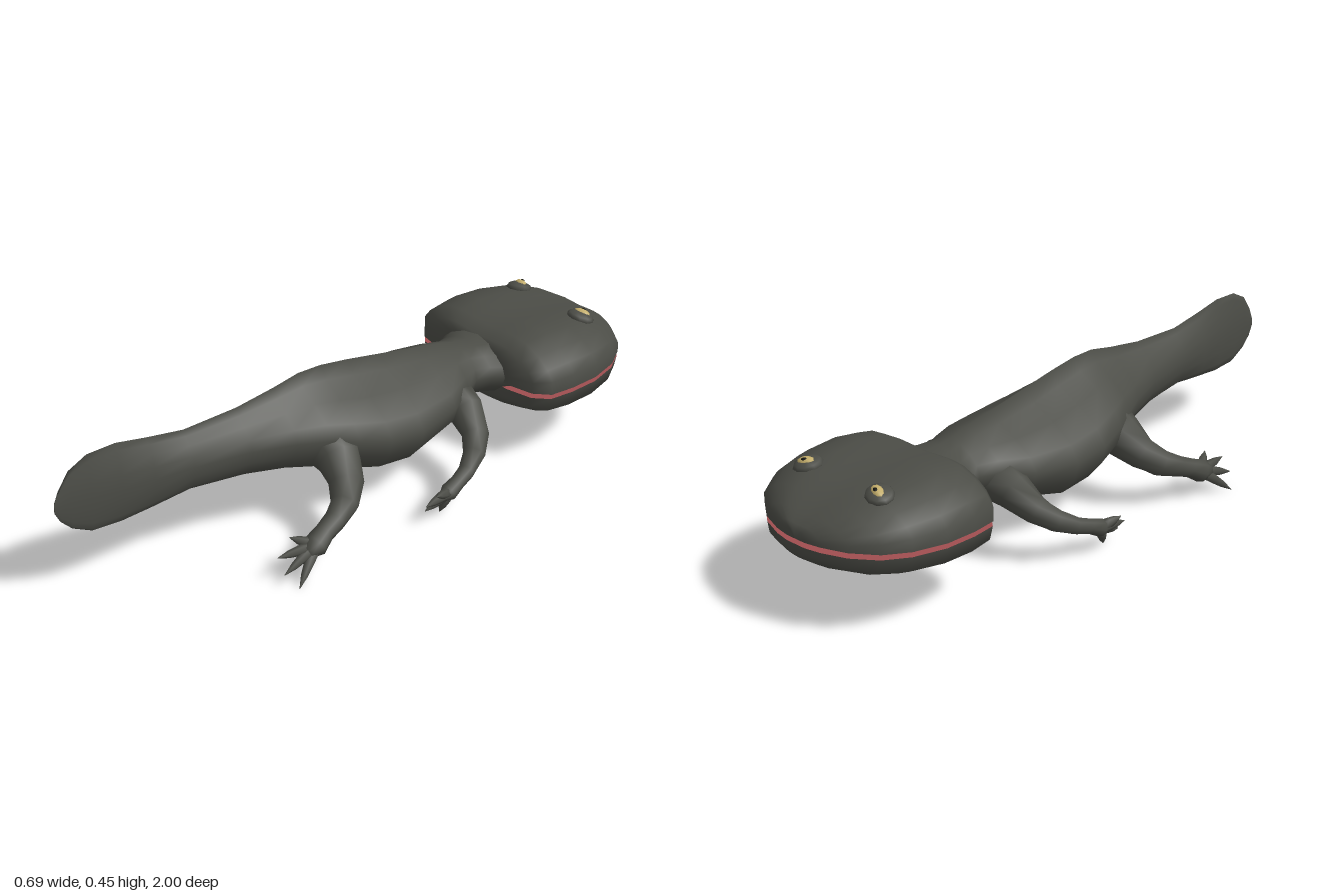
import * as THREE from 'three';

const mat = (name, color, side = THREE.FrontSide) => Object.assign(new THREE.MeshStandardMaterial({ color, side }), { name });

// Skin stretched over cross-sections; rings run counter-clockwise about the path
function loft(rings, closed = true, caps = true) {
  const n = rings[0].length, m = closed ? n : n - 1;
  const pos = rings.flat(2), idx = [];
  for (let i = 0; i < rings.length - 1; i++)
    for (let j = 0; j < m; j++) {
      const a = i * n + j, b = i * n + (j + 1) % n;
      idx.push(a, b, a + n, b, b + n, a + n);
    }
  if (caps) [0, rings.length - 1].forEach((r, end) => {
    const R = rings[r], used = closed ? R : [R[0], R[n - 1]];
    const c = pos.length / 3;
    for (let k = 0; k < 3; k++) pos.push(used.reduce((s, p) => s + p[k], 0) / used.length);
    for (let j = 0; j < m; j++) {
      const a = r * n + j, b = r * n + (j + 1) % n;
      idx.push(...(end ? [c, a, b] : [c, b, a]));
    }
  });
  const g = new THREE.BufferGeometry();
  g.setAttribute('position', new THREE.Float32BufferAttribute(pos, 3));
  g.setIndex(idx);
  g.computeVertexNormals();
  return g;
}

// Tapered limb through points [x, y, z, radius], mirrored by s
function limb(points, s, sides = 8) {
  const P = points.map(p => new THREE.Vector3(p[0] * s, p[1], p[2]));
  return loft(P.map((p, i) => {
    const t = P[Math.min(i + 1, P.length - 1)].clone().sub(P[Math.max(i - 1, 0)]).normalize();
    const u = new THREE.Vector3(0, 1, 0).cross(t).normalize();
    const v = t.clone().cross(u);
    return Array.from({ length: sides }, (_, k) => {
      const a = k / sides * Math.PI * 2, r = points[i][3];
      return p.clone().addScaledVector(u, r * Math.cos(a)).addScaledVector(v, r * Math.sin(a)).toArray();
    });
  }));
}

// Body stations: z, half width, top, bottom, ridge sharpness
const BODY = [
  [-0.58, 0.23, 0.34, 0.20, 0], [-0.52, 0.16, 0.36, 0.185, 0], [-0.47, 0.125, 0.36, 0.19, 0.1],
  [-0.42, 0.11, 0.365, 0.195, 0.2], [-0.36, 0.14, 0.38, 0.18, 0.4], [-0.27, 0.185, 0.395, 0.14, 0.6],
  [-0.12, 0.213, 0.42, 0.098, 0.8], [0, 0.212, 0.44, 0.11, 1], [0.1, 0.19, 0.453, 0.14, 1],
  [0.18, 0.155, 0.453, 0.165, 1], [0.27, 0.115, 0.435, 0.185, 0.9], [0.4, 0.075, 0.415, 0.205, 0.7],
  [0.58, 0.05, 0.407, 0.22, 0.6], [0.7, 0.038, 0.425, 0.205, 0.6], [0.8, 0.028, 0.443, 0.195, 0.6],
  [0.89, 0.017, 0.44, 0.2, 0.6], [0.95, 0.01, 0.41, 0.23, 0.6], [0.985, 0.005, 0.36, 0.265, 0.6],
  [1, 0.002, 0.325, 0.295, 0.6],
];
const RIDGED = [[0, 1], [0.14, 0.76], [0.5, 0.5], [0.85, 0.2], [1, -0.1], [0.93, -0.45], [0.7, -0.8], [0.4, -0.95], [0, -1]];

function bodyRing([z, w, top, bottom, ridge]) {
  const half = RIDGED.map(([rx, ry], k) => {
    const a = k * Math.PI / 8;
    const x = THREE.MathUtils.lerp(Math.sin(a), rx, ridge), y = THREE.MathUtils.lerp(Math.cos(a), ry, ridge);
    return [x * w, (top + bottom) / 2 + y * (top - bottom) / 2, z];
  });
  return [...half.map(([x, y]) => [-x, y, z]), ...half.slice(1, -1).reverse()];
}

// Head stations: z, half width, skull top, jaw bottom
const HEAD = [
  [-1, 0.035, 0.298, 0.225], [-0.99, 0.085, 0.312, 0.212], [-0.962, 0.16, 0.333, 0.192],
  [-0.91, 0.23, 0.36, 0.17], [-0.84, 0.275, 0.383, 0.155], [-0.74, 0.303, 0.395, 0.146],
  [-0.64, 0.305, 0.4, 0.141], [-0.56, 0.295, 0.388, 0.148], [-0.52, 0.25, 0.365, 0.165],
  [-0.502, 0.16, 0.34, 0.185],
];
const upperLip = z => 0.255 - (z + 0.5) * 0.034;
const lowerLip = z => 0.239 - (z + 0.5) * 0.034;
const SKULL = [[1, 0], [1, 0.32], [0.92, 0.55], [0.78, 0.78], [0.58, 0.96], [0.4, 1], [0.2, 0.98], [0, 0.95]];
const JAW = [[1, 0], [0.96, 0.48], [0.8, 0.7], [0.5, 0.9], [0.22, 0.98], [0, 1]];
// Half profile mirrored into an arch from one lip to the other
function arch(profile, w, from, to, z, s) {
  const half = profile.map(([x, y]) => [x * w * s, from + (to - from) * y, z]);
  return [...half, ...half.slice(0, -1).reverse().map(([x, y]) => [-x, y, z])];
}

// Legs: path with radii, then toe tips
const LEGS = {
  frontLeg: {
    path: [[0.08, 0.245, -0.33, 0.075], [0.16, 0.22, -0.335, 0.056], [0.225, 0.175, -0.315, 0.042], [0.265, 0.14, -0.275, 0.034],
      [0.292, 0.112, -0.22, 0.026], [0.305, 0.098, -0.175, 0.023], [0.31, 0.08, -0.135, 0.027], [0.312, 0.073, -0.11, 0.014]],
    toes: [[0.332, 0.1, -0.07], [0.32, 0.07, -0.04], [0.305, 0.045, -0.05], [0.3, 0.018, -0.11]],
  },
  hindLeg: {
    path: [[0.07, 0.26, 0.14, 0.09], [0.15, 0.225, 0.15, 0.068], [0.21, 0.18, 0.17, 0.052], [0.252, 0.145, 0.21, 0.042],
      [0.275, 0.122, 0.265, 0.033], [0.286, 0.105, 0.31, 0.03], [0.297, 0.085, 0.35, 0.036], [0.302, 0.075, 0.385, 0.02]],
    toes: [[0.262, 0.118, 0.415], [0.285, 0.085, 0.475], [0.317, 0.045, 0.475], [0.346, 0.003, 0.445]],
  },
};

export function createModel() {
  const skin = mat('darkSkin', 0x4b4c46), mouth = mat('mouthRed', 0xa04e50, THREE.DoubleSide);
  const gold = mat('eyeGold', 0xc4ae6c), black = mat('pupilBlack', 0x15150f);
  const root = new THREE.Group();
  root.name = 'salamander';
  const add = (name, geo, material, parent = root) => {
    const mesh = new THREE.Mesh(geo, material);
    mesh.name = name;
    parent.add(mesh);
    return mesh;
  };

  add('bodyAndTail', loft(BODY.map(bodyRing)), skin);

  // Broad flat head with a slightly open mouth
  add('skull', loft(HEAD.map(([z, w, top]) => arch(SKULL, w, upperLip(z), top, z, 1)), false), skin);
  add('lowerJaw', loft(HEAD.map(([z, w, , low]) => arch(JAW, w * 0.99, lowerLip(z), low, z, -1)), false), skin);
  add('palate', loft(HEAD.map(([z, w]) => [[-w, upperLip(z), z], [w, upperLip(z), z]]), false, false), mouth);
  add('mouthFloor', loft(HEAD.map(([z, w]) => [[w * 0.99, lowerLip(z), z], [-w * 0.99, lowerLip(z), z]]), false, false), mouth);

  for (const s of [1, -1]) {
    const side = s > 0 ? 'left' : 'right';

    // Small eyes on low bumps
    const eye = new THREE.Group();
    eye.name = side + 'Eye';
    eye.position.set(0.14 * s, 0.381, -0.825);
    eye.rotation.set(-0.2, 0.35 * s, -0.12 * s);
    root.add(eye);
    add('eyelid', new THREE.SphereGeometry(0.045, 10, 6).scale(1, 0.45, 0.9), skin, eye);
    add('iris', new THREE.SphereGeometry(0.028, 10, 6).scale(1, 0.5, 0.62), gold, eye).position.set(0, 0.012, -0.004);
    add('pupil', new THREE.SphereGeometry(0.009, 8, 5).scale(1, 0.4, 0.7), black, eye).position.set(0, 0.0235, -0.009);

    // Sprawling legs with four pointed toes
    for (const [name, { path, toes }] of Object.entries(LEGS)) {
      const leg = new THREE.Group();
      leg.name = side + name[0].toUpperCase() + name.slice(1);
      root.add(leg);
      add('limb', limb(path, s), skin, leg);
      const palm = path[path.length - 2];
      for (const tip of toes) {
        const at = (f, r) => [0, 1, 2].map(k => palm[k] + (tip[k] - palm[k]) * f).concat(r);
        add('toe', limb([at(0.05, 0.02), at(0.45, 0.015), at(0.7, 0.011), at(1, 0.001)], s, 6), skin, leg);
      }
    }
  }
  return root;
}
